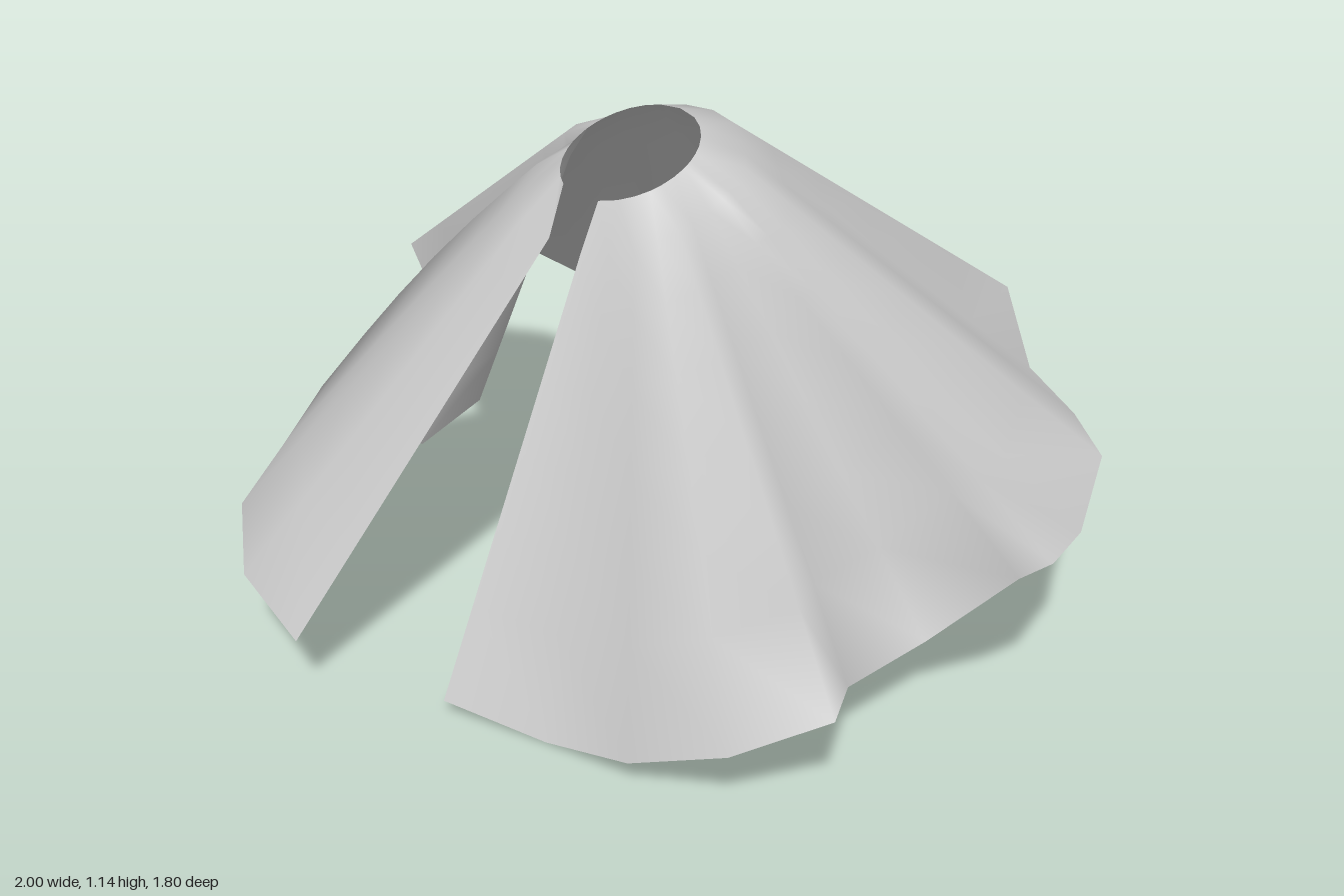
import * as THREE from 'three';

// Hem corners from the left side of the slit, around the back, to the right side:
// x, y, z and the angle (degrees from the front) where the column meets the neck
const HEM = [
  [0.10, 0.04, 0.70, 20], [0.31, 0.00, 0.60, 36], [0.54, 0.07, 0.58, 50],
  [0.76, 0.18, 0.52, 62], [0.90, 0.27, 0.38, 72], [0.77, 0.19, 0.20, 83],
  [0.78, 0.20, -0.02, 94], [0.98, 0.44, -0.04, 98], [1.00, 0.45, -0.12, 104],
  [0.92, 0.40, -0.32, 112], [0.83, 0.47, -0.50, 121], [0.66, 0.455, -0.63, 133],
  [0.45, 0.45, -0.74, 146], [0.27, 0.55, -0.87, 160], [0.02, 0.56, -0.90, 180],
  [-0.21, 0.55, -0.88, 200], [-0.36, 0.42, -0.72, 213], [-0.54, 0.33, -0.55, 226],
  [-0.73, 0.37, -0.42, 238], [-0.89, 0.43, -0.34, 247], [-1.00, 0.52, -0.18, 256],
  [-0.98, 0.50, -0.04, 264], [-0.68, 0.18, -0.01, 268], [-0.64, 0.15, 0.20, 280],
  [-0.83, 0.29, 0.35, 290], [-0.73, 0.24, 0.53, 302], [-0.58, 0.23, 0.74, 314],
  [-0.37, 0.20, 0.87, 325], [-0.13, 0.165, 0.90, 336],
];
const ROWS = [0, 0.11, 0.22, 0.35, 0.5, 0.65, 0.8, 1];

// Point on a column of cloth: t = 0 at the neck, 1 at the hem
function clothPoint([x, y, z, deg], t, isLast) {
  const a = THREE.MathUtils.degToRad(deg);
  const neckZ = 0.11 + 0.14 * Math.cos(a);
  const neck = new THREE.Vector3(0.03 + 0.15 * Math.sin(a), 1.13 - 0.42 * neckZ, neckZ);
  const p = neck.lerp(new THREE.Vector3(x, y, z), t);
  // rounded shoulder, strongest at the back
  const shoulder = t < 0.11 ? t / 0.11 : (1 - t) / 0.89;
  p.y += shoulder * (0.022 - 0.014 * Math.cos(a));
  // the right front fold bows outward
  p.y += 0.04 * Math.sin(Math.PI * t) * Math.exp(-(((deg - 290) / 10) ** 2));
  // collar corner on the right edge of the slit
  if (isLast) p.x += 0.05 * shoulder;
  return p;
}

export function createModel() {
  const group = new THREE.Group();
  group.name = 'cloak';

  const positions = [];
  const index = [];
  const n = ROWS.length;
  HEM.forEach((column, i) => {
    ROWS.forEach((t, j) => {
      positions.push(...clothPoint(column, t, i === HEM.length - 1).toArray());
      if (i && j) {
        const b = i * n + j;
        const a = b - n;
        index.push(a - 1, a, b, a - 1, b, b - 1);
      }
    });
  });

  const geometry = new THREE.BufferGeometry();
  geometry.setAttribute('position', new THREE.Float32BufferAttribute(positions, 3));
  geometry.setIndex(index);
  geometry.computeVertexNormals();

  // Draped cloth, open at the neck and split at the front
  const cloth = new THREE.Mesh(
    geometry,
    new THREE.MeshStandardMaterial({ color: 0xcccccc, side: THREE.DoubleSide }),
  );
  cloth.name = 'drapedCloth';
  group.add(cloth);
  return group;
}
